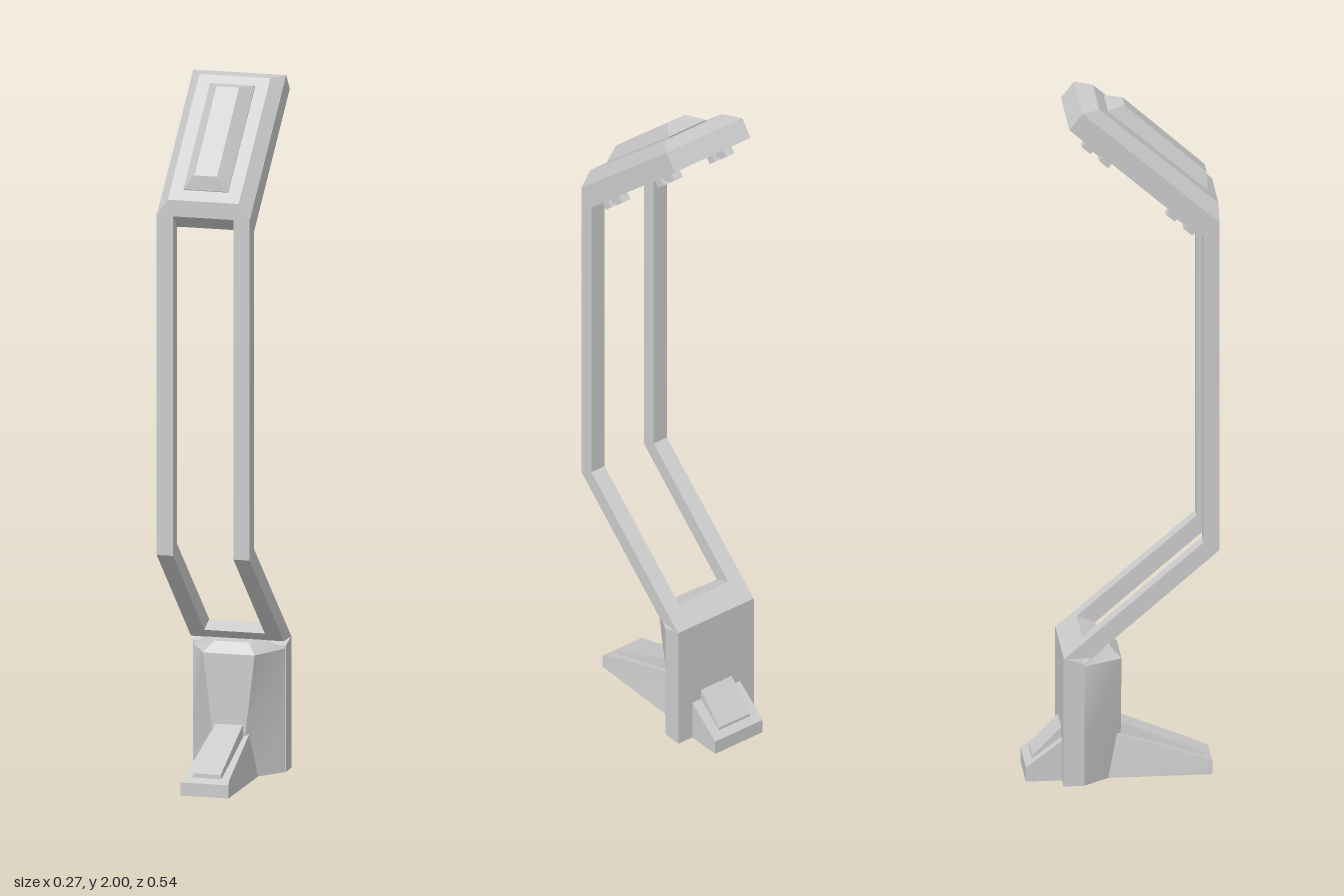
import * as THREE from 'three';
import { toCreasedNormals } from 'three/addons/utils/BufferGeometryUtils.js';

const grey = new THREE.MeshStandardMaterial({ color: 0xcccccc });
const amber = new THREE.MeshStandardMaterial({ color: 0xc4aa7c });

// Skin a run of equal-length rings of [x, y, z] points, capped at both ends.
function loft(name, rings, parent, material = grey) {
  const n = rings[0].length;
  const index = [];
  for (let r = 0; r < rings.length - 1; r++) {
    for (let i = 0; i < n; i++) {
      const a = r * n + i, b = r * n + (i + 1) % n;
      index.push(a, b, b + n, a, b + n, a + n);
    }
  }
  const end = (rings.length - 1) * n;
  for (let i = 1; i < n - 1; i++) {
    index.push(0, i + 1, i, end, end + i, end + i + 1);
  }
  // Turn the faces outward if the rings ran the other way
  const p = rings.flat().map((v) => new THREE.Vector3(...v));
  let volume = 0;
  for (let i = 0; i < index.length; i += 3) {
    volume += p[index[i]].dot(p[index[i + 1]].clone().cross(p[index[i + 2]]));
  }
  if (volume < 0) index.reverse();
  const geometry = new THREE.BufferGeometry().setFromPoints(p);
  geometry.setIndex(index);
  const mesh = new THREE.Mesh(toCreasedNormals(geometry, 0.55), material);
  mesh.name = name;
  parent.add(mesh);
  return mesh;
}

// Rectangle across x whose front and back edges are given as [z, y].
const slab = (w, [zf, yf], [zb, yb]) => [[-w, yf, zf], [w, yf, zf], [w, yb, zb], [-w, yb, zb]];

// Upright rectangle at one z, used for the feet.
const upright = (z, w, y0, y1, wTop = w) => [[-w, y0, z], [w, y0, z], [wTop, y1, z], [-wTop, y1, z]];

function box(name, size, pos, parent, material = grey) {
  const mesh = new THREE.Mesh(new THREE.BoxGeometry(...size), material);
  mesh.position.set(...pos);
  mesh.name = name;
  parent.add(mesh);
}

function buildBase(parent) {
  const base = new THREE.Group();
  base.name = 'base';
  parent.add(base);

  // Column: wide back, tapering front panel, bevelled top
  const section = (y, wf, zf, wb, zb) => [[-wf, y, zf], [wf, y, zf], [wb, y, zb], [-wb, y, zb]];
  loft('column', [
    section(0, 0.045, 0, 0.135, -0.112),
    section(0.12, 0.047, 0, 0.135, -0.112),
    section(0.355, 0.075, 0, 0.135, -0.112),
    section(0.384, 0.05, -0.03, 0.085, -0.075),
  ], base);
  const wall = (x) => [[x, 0, -0.11], [x, 0.362, -0.11], [x, 0.38, -0.168], [x, 0, -0.168]];
  loft('backWall', [wall(-0.135), wall(0.135)], base);

  // Feet with raised sloping ribs
  loft('frontFoot', [
    upright(0.256, 0.07, 0, 0.038),
    upright(0.238, 0.07, 0, 0.046, 0.066),
    upright(-0.04, 0.075, 0, 0.135, 0.055),
  ], base);
  loft('frontRib', [
    upright(0.23, 0.045, 0.03, 0.06, 0.04),
    upright(-0.03, 0.045, 0.1, 0.165, 0.04),
  ], base);
  loft('backFoot', [
    upright(-0.27, 0.085, 0, 0.042),
    upright(-0.16, 0.085, 0, 0.125),
  ], base);
  loft('backRib', [
    upright(-0.25, 0.055, 0.03, 0.065),
    upright(-0.16, 0.055, 0.1, 0.158),
  ], base);
}

function buildFrame(parent) {
  const frame = new THREE.Group();
  frame.name = 'armFrame';
  parent.add(frame);

  // Outer and inner edges of the bent arm as [z, y]
  const path = [
    [[-0.09, 0.38], [-0.168, 0.378]],
    [[0.27, 0.69], [0.225, 0.714]],
    [[0.27, 1.67], [0.225, 1.632]],
  ];
  for (const side of [1, -1]) {
    loft(side > 0 ? 'leftArm' : 'rightArm', path.map(([[z0, y0], [z1, y1]]) => [
      [side * 0.088, y0, z0], [side * 0.135, y0, z0],
      [side * 0.135, y1, z1], [side * 0.088, y1, z1],
    ]), frame);
  }
  loft('lowerCrossbar', [
    slab(0.09, [-0.09, 0.38], [-0.168, 0.378]),
    slab(0.09, [-0.06, 0.406], [-0.112, 0.426]),
  ], frame);
}

function buildHead(parent) {
  const head = new THREE.Group();
  head.name = 'lampHead';
  parent.add(head);

  // Housing: recess floor, recess rim, underside, seam, bevelled top
  loft('housing', [
    slab(0.07, [0.198, 1.687], [-0.087, 1.939]),
    slab(0.092, [0.192, 1.651], [-0.12, 1.926]),
    slab(0.135, [0.222, 1.625], [-0.152, 1.953]),
    slab(0.135, [0.27, 1.665], [-0.115, 2.0]),
    slab(0.103, [0.27, 1.712], [-0.065, 2.0]),
  ], head);
  loft('topRidge', [
    slab(0.065, [0.235, 1.725], [-0.038, 1.972]),
    slab(0.065, [0.243, 1.738], [-0.038, 1.982]),
    slab(0.033, [0.243, 1.78], [0.012, 1.986]),
  ], head);

  // Fittings underneath, laid out along the tilted underside
  const under = new THREE.Group();
  under.name = 'undersideFittings';
  under.position.set(0, 1.788, 0.036);
  under.rotation.x = 0.721;
  head.add(under);
  box('lightPanel', [0.09, 0.012, 0.33], [0, 0.022, 0], under, amber);
  for (const x of [-0.092, 0.092]) {
    for (const z of [0.215, 0.15, -0.1, -0.165]) {
      box('clip', [0.03, 0.036, 0.034], [x, -0.004, z], under);
    }
    for (const z of [0.183, -0.133]) box('clipPin', [0.014, 0.016, 0.06], [x, -0.006, z], under);
  }
}

export function createModel() {
  const model = new THREE.Group();
  model.name = 'deskLamp';
  buildBase(model);
  buildFrame(model);
  buildHead(model);
  return model;
}
